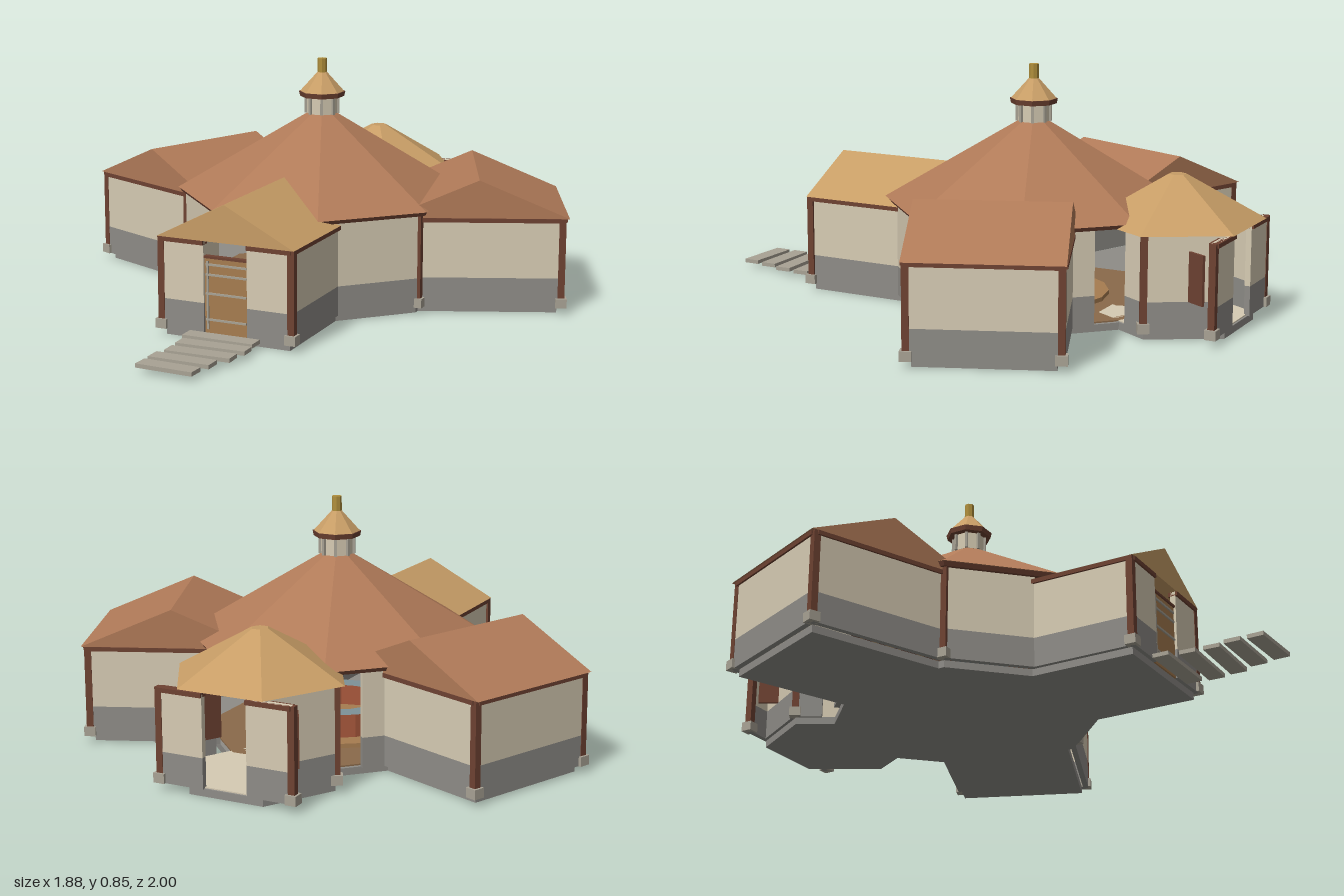
import * as THREE from 'three';

const mat = (color) => new THREE.MeshStandardMaterial({ color, flatShading: true, side: THREE.DoubleSide });
const M = {
  roof: mat(0xb07a58), thatch: mat(0xc79d66), trim: mat(0x6e4232), plaster: mat(0xd6cbb3),
  stone: mat(0x8e8c87), block: mat(0xa8a294), wood: mat(0xa67c50), gold: mat(0xb08f3c),
  floor: mat(0x8a6a4a), red: mat(0xa8583c), slate: mat(0x7d9298),
};
const HALL_Z = -0.19, PAV_Z = -0.735;

function add(parent, name, geo, material, x = 0, y = 0, z = 0, ry = 0) {
  const m = new THREE.Mesh(geo, material);
  m.name = name;
  m.position.set(x, y, z);
  m.rotation.y = ry;
  parent.add(m);
  return m;
}

// Box given by its bottom and top heights
function slab(parent, name, material, w, d, y0, y1, x, z, ry = 0) {
  return add(parent, name, new THREE.BoxGeometry(w, y1 - y0, d), material, x, (y0 + y1) / 2, z, ry);
}

// Polygonal drum or frustum with a flat side facing the front
function prism(parent, name, material, sides, rTop, rBottom, y0, y1, z) {
  const geo = new THREE.CylinderGeometry(rTop, rBottom, y1 - y0, sides, 1, false, Math.PI / sides);
  return add(parent, name, geo, material, 0, (y0 + y1) / 2, z);
}

// Straight wall in plan: stone dado, plaster above, optional timber frieze
function wall(parent, name, x1, z1, x2, z2, top = 0.345, frieze = true) {
  const g = new THREE.Group();
  g.name = name;
  g.position.set((x1 + x2) / 2, 0, (z1 + z2) / 2);
  g.rotation.y = -Math.atan2(z2 - z1, x2 - x1);
  const len = Math.hypot(x2 - x1, z2 - z1);
  slab(g, 'dado', M.stone, len, 0.02, 0.025, 0.13, 0, 0);
  slab(g, 'plaster', M.plaster, len, 0.02, 0.13, top, 0, 0);
  if (frieze) slab(g, 'frieze', M.trim, len, 0.034, top - 0.015, top, 0, 0);
  parent.add(g);
}

// Corner post standing on a stone block
function post(parent, x, z, top = 0.345, ry = 0) {
  slab(parent, 'cornerPost', M.trim, 0.024, 0.024, 0.05, top, x, z, ry);
  slab(parent, 'postBase', M.block, 0.04, 0.04, 0.025, 0.058, x, z, ry);
}

// Gable roof with its ridge along z
function gable(parent, name, material, half, length, y0, y1, x, z) {
  const s = new THREE.Shape([[-half, 0], [half, 0], [0, y1 - y0]].map((p) => new THREE.Vector2(...p)));
  const geo = new THREE.ExtrudeGeometry(s, { depth: length, bevelEnabled: false });
  add(parent, name, geo, material, x, y0, z - length / 2);
}

// Side wing, angled away from the hall; s = 1 left, -1 right
function wing(s) {
  const g = new THREE.Group();
  g.name = s > 0 ? 'leftWing' : 'rightWing';
  g.position.z = HALL_Z;
  g.rotation.y = s > 0 ? Math.PI / 8 : Math.PI * 7 / 8;
  const c = 0.09 * s, front = c + 0.245 * s, back = c - 0.245 * s, out = 0.847;
  slab(g, 'plinth', M.stone, 0.6, 0.46, 0, 0.026, 0.535, c);
  wall(g, 'frontWall', 0.35, front, out, front);
  wall(g, 'outerWall', out, front, out, back);
  wall(g, 'backWall', 0.4, back, out, back);
  post(g, out, front);
  post(g, out, back);
  gable(g, 'wingRoof', M.roof, 0.315, 0.52, 0.345, 0.48, 0.555, c);
  return g;
}

// Wall panels either side of a central opening
function facade(parent, z) {
  for (const s of [-1, 1]) {
    wall(parent, 'facadePanel', s * 0.08, z, s * 0.24, z);
    post(parent, s * 0.24, z);
  }
}

function hall() {
  const g = new THREE.Group();
  g.name = 'hall';
  prism(g, 'plinth', M.stone, 8, 0.48, 0.48, 0, 0.025, HALL_Z);
  prism(g, 'floor', M.floor, 8, 0.465, 0.465, 0.025, 0.03, HALL_Z);
  for (const s of [-1, 1]) {
    wall(g, 'frontDiagonalWall', s * 0.453, 0, s * 0.235, 0.218, 0.36, false);
    post(g, s * 0.455, 0, 0.36);
    wall(g, 'backDiagonalWall', s * 0.35, -0.48, s * 0.275, -0.555, 0.36, false);
  }
  prism(g, 'fascia', M.trim, 8, 0.522, 0.515, 0.355, 0.37, HALL_Z);
  prism(g, 'hallRoof', M.roof, 8, 0.055, 0.527, 0.37, 0.65, HALL_Z);
  // Round counter with seats
  const ring = new THREE.CylinderGeometry(0.2, 0.2, 0.1, 16, 1, true);
  add(g, 'counterFront', ring, M.red, 0, 0.08, HALL_Z);
  const top = new THREE.RingGeometry(0.15, 0.22, 16);
  add(g, 'counterTop', top.rotateX(-Math.PI / 2), M.slate, 0, 0.132, HALL_Z);
  const step = new THREE.CylinderGeometry(0.27, 0.27, 0.015, 16);
  add(g, 'counterStep', step, M.wood, 0, 0.038, HALL_Z);
  return g;
}

function cupola() {
  const g = new THREE.Group();
  g.name = 'cupola';
  prism(g, 'drum', M.plaster, 8, 0.056, 0.056, 0.65, 0.715, HALL_Z);
  for (let i = 0; i < 8; i++) {
    const a = (i + 0.5) * Math.PI / 4;
    slab(g, 'drumPost', M.block, 0.01, 0.01, 0.65, 0.715, Math.sin(a) * 0.058, HALL_Z + Math.cos(a) * 0.058, a);
  }
  prism(g, 'cornice', M.trim, 8, 0.084, 0.08, 0.712, 0.73, HALL_Z);
  prism(g, 'cap', M.thatch, 8, 0.017, 0.08, 0.73, 0.8, HALL_Z);
  prism(g, 'finial', M.gold, 8, 0.017, 0.017, 0.8, 0.85, HALL_Z);
  return g;
}

function porch() {
  const g = new THREE.Group();
  g.name = 'porch';
  slab(g, 'plinth', M.stone, 0.46, 0.42, 0, 0.027, 0, 0.37);
  facade(g, 0.585);
  for (const s of [-1, 1]) wall(g, 'sideWall', s * 0.235, 0.2, s * 0.235, 0.585);
  gable(g, 'porchRoof', M.thatch, 0.253, 0.5, 0.345, 0.475, 0, 0.35);
  // Panelled door
  slab(g, 'door', M.wood, 0.165, 0.012, 0.025, 0.29, 0, 0.58);
  slab(g, 'doorHead', M.trim, 0.165, 0.02, 0.285, 0.293, 0, 0.582);
  for (const y of [0.07, 0.16, 0.225, 0.26]) slab(g, 'doorRail', M.block, 0.15, 0.006, y, y + 0.007, 0, 0.588);
  slab(g, 'doorStile', M.block, 0.007, 0.006, 0.04, 0.275, -0.068, 0.588);
  // Stepping slabs, slightly uneven
  [[0, 0.63, 0.26, 0], [0.015, 0.713, 0.25, 0.03], [0.012, 0.798, 0.235, 0.03],
    [-0.01, 0.88, 0.22, 0], [-0.017, 0.964, 0.205, -0.03]].forEach(([x, z, w, r]) =>
    slab(g, 'steppingSlab', M.block, w, 0.058, 0.018, 0.032, x, z, r));
  return g;
}

function pavilion() {
  const g = new THREE.Group();
  g.name = 'backPavilion';
  prism(g, 'plinth', M.stone, 6, 0.27, 0.27, 0, 0.026, PAV_Z);
  prism(g, 'floor', M.plaster, 6, 0.262, 0.262, 0.026, 0.03, PAV_Z);
  facade(g, -0.965);
  for (const s of [-1, 1]) {
    wall(g, 'backSideWall', s * 0.272, PAV_Z, s * 0.14, -0.963, 0.355, false);
    wall(g, 'frontSideWall', s * 0.272, PAV_Z, s * 0.225, -0.655, 0.355, false);
    post(g, s * 0.275, PAV_Z, 0.355, Math.PI / 6);
    slab(g, 'wallBoard', M.trim, 0.2, 0.01, 0.13, 0.3, s * 0.19, -0.845, s * Math.PI / 3);
  }
  prism(g, 'pavilionRoof', M.thatch, 6, 0.03, 0.306, 0.355, 0.512, PAV_Z);
  return g;
}

export function createModel() {
  const model = new THREE.Group();
  model.name = 'wingedHall';
  model.add(hall(), cupola(), porch(), pavilion(), wing(1), wing(-1));
  return model;
}
